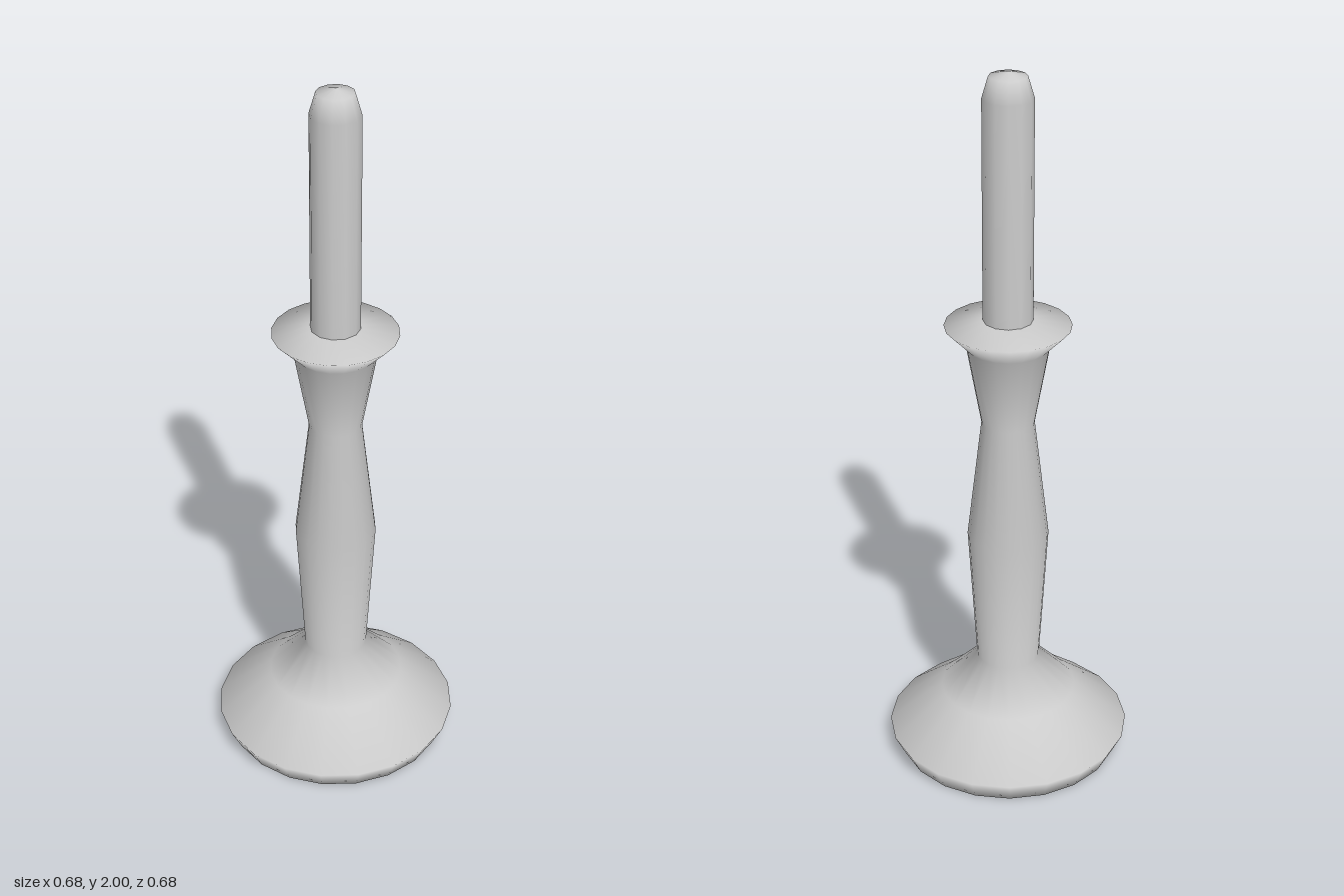
import * as THREE from 'three';

// Turned part from [radius, height] pairs, listed bottom to top
function turned(name, profile, sides) {
  const points = profile.map(([r, y]) => new THREE.Vector2(r, y));
  const material = new THREE.MeshStandardMaterial({ color: 0xcccccc });
  const mesh = new THREE.Mesh(new THREE.LatheGeometry(points, sides), material);
  mesh.name = name;
  return mesh;
}

export function createModel() {
  const group = new THREE.Group();
  group.name = 'candlestick';

  // Holder: flared foot, waisted stem and wide drip pan
  group.add(turned('holder', [
    [0, 0], [0.31, 0], [0.34, 0.06], [0.19, 0.18],
    [0.088, 0.285], [0.112, 0.68], [0.072, 1.025],
    [0.112, 1.25], [0.17, 1.31], [0.06, 1.326], [0, 1.326],
  ], 20));

  // Candle with a rounded tip
  group.add(turned('candle', [
    [0.067, 1.3], [0.067, 1.93], [0.05, 1.988], [0, 2],
  ], 12));

  return group;
}
